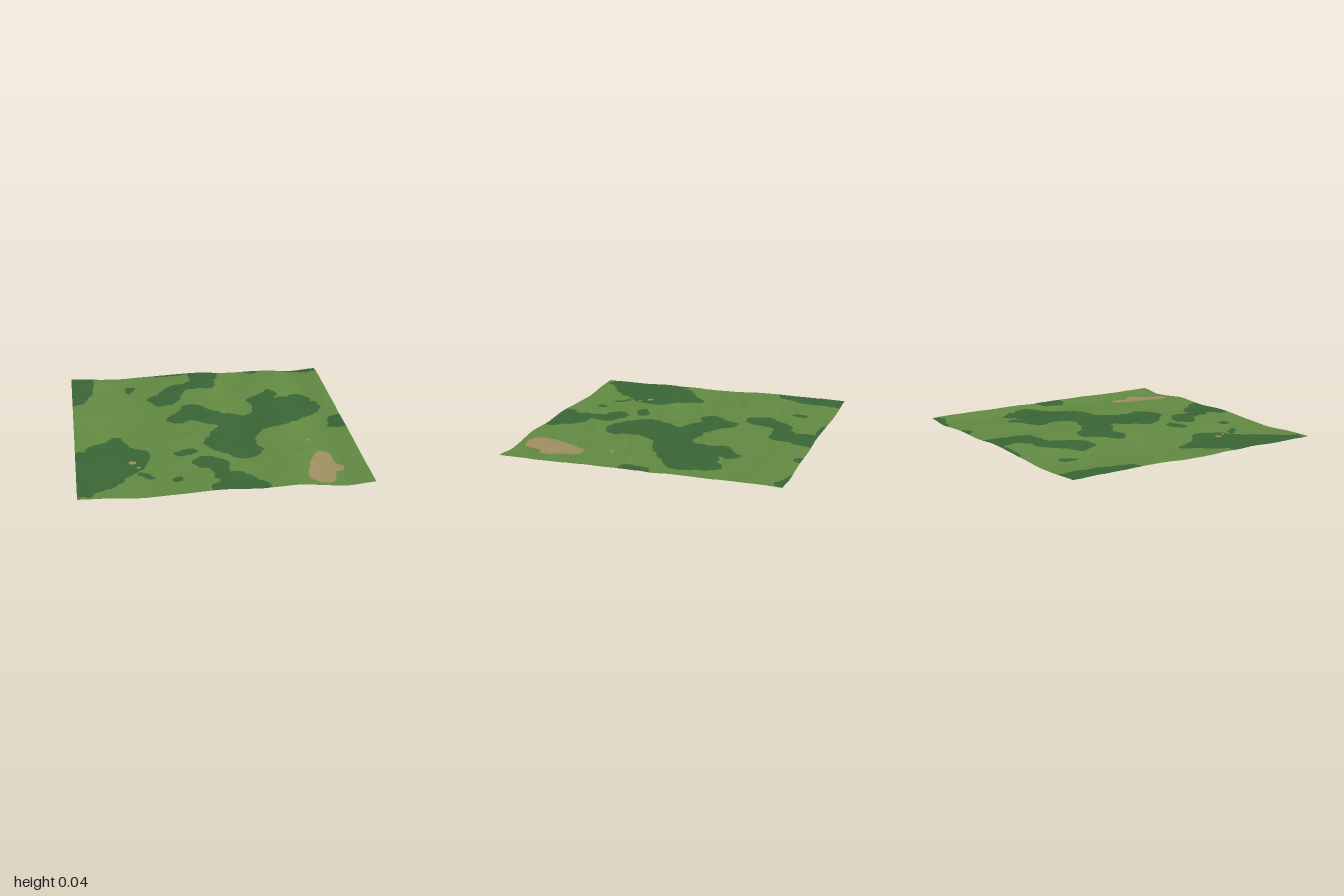
import * as THREE from 'three';

const { lerp, clamp, smoothstep, smootherstep } = THREE.MathUtils;
const N = 220; // grid cells per side

// Each patch is a chain of discs [x, z, radius], joined by tapering strokes
const BACK_WOOD = [
  [[-.98, -1, .17], [-.97, -.75, .13], [-1, -.55, .09]],
  [[.07, -1, .13], [.04, -.77, .1], [-.18, -.7, .07], [-.28, -.52, .12]],
  [[-.28, -1, .03], [0, -1, .04]],
  [[.47, -1.02, .07]],
  [[.76, -1, .04], [.92, -.98, .07]],
  [[-.56, -.76, .04], [-.57, -.7, .03]],
];
const CENTRE_WOOD = [
  [[-.23, -.13, .08], [-.1, -.26, .11], [.05, -.12, .11], [.25, 0, .14], [.5, -.08, .14], [.74, -.28, .14]],
  [[.54, -.53, .06], [.45, -.39, .11], [.52, -.25, .17], [.72, -.4, .11]],
  [[.22, .05, .17], [.11, .28, .18], [.19, .42, .13]],
  [[.99, .02, .12]],
];
const FRONT_WOOD = [
  [[-.71, .14, .06], [-.74, .37, .2], [-.6, .42, .13], [-.72, .55, .16], [-.84, .74, .13], [-.95, .88, .09]],
  [[-1, .5, .18], [-1, .8, .15]],
  [[-.56, .66, .02], [-.5, .71, .025]],
  [[-.1, .57, .08], [.01, .63, .06], [-.03, .79, .06], [.06, .85, .12], [.18, .95, .11], [-.04, .97, .09]],
  [[-.29, .43, .03], [-.19, .4, .04]],
  [[-.32, .78, .04]],
];
const EARTH = [
  [[.73, .55, .06], [.7, .71, .1], [.66, .87, .09]],
  [[.7, .72, .1], [.78, .73, .06]],
  [[-.605, .495, .025]],
  [[-.57, .57, .014]],
  [[.67, .3, .016]],
];

// Seeded smooth noise in -1..1
function hash(i, j) {
  const s = Math.sin(i * 127.1 + j * 311.7) * 43758.5453;
  return (s - Math.floor(s)) * 2 - 1;
}
function noise(x, z) {
  const i = Math.floor(x), j = Math.floor(z);
  const u = smootherstep(x - i, 0, 1), v = smootherstep(z - j, 0, 1);
  return lerp(lerp(hash(i, j), hash(i + 1, j), u), lerp(hash(i, j + 1), hash(i + 1, j + 1), u), v);
}

// True where the point lies within any disc or stroke of a chain
function covered(chain, x, z) {
  return chain.some(([ax, az, ar], k) => {
    const [bx, bz, br] = chain[Math.min(k + 1, chain.length - 1)];
    const dx = bx - ax, dz = bz - az;
    const t = clamp(((x - ax) * dx + (z - az) * dz) / (dx * dx + dz * dz || 1), 0, 1);
    return Math.hypot(x - ax - dx * t, z - az - dz * t) < lerp(ar, br, t);
  });
}

// Crests and hollows across the width, as [x, height]
const SWELL = [[-1, .039], [-.6, .021], [0, .047], [.25, .034], [.5, .041], [.8, .021], [1, .038]];
function swell(x) {
  const k = clamp(SWELL.findIndex(([kx]) => kx >= x), 1, SWELL.length - 1);
  const [ax, ay] = SWELL[k - 1], [bx, by] = SWELL[k];
  return lerp(ay, by, smoothstep(x, ax, bx));
}

// Rolling ground: swells, a dip to the front and fine slanted ripples
function ground(x, z) {
  const along = x * .94 - z * .34, across = x * .34 + z * .94;
  return swell(x) - .004 * Math.sin(z * 2.6) + .006 * noise(x * 2.5 + 7, z * 2.5 + 3)
    + .003 * noise(along * 4 + 11, across * 9) + .0012 * noise(along * 9, across * 20 + 5);
}

// Kind of ground cover at a point, with ragged wood edges
function coverAt(x, z) {
  if (EARTH.some((chain) => covered(chain, x + .008 * noise(x * 18, z * 18), z))) return 'bareEarth';
  const wx = x + .02 * noise(x * 9, z * 9) + .01 * noise(x * 24, z * 24);
  const wz = z + .02 * noise(x * 9 + 40, z * 9) + .01 * noise(x * 24 + 40, z * 24);
  const wood = [...BACK_WOOD, ...CENTRE_WOOD, ...FRONT_WOOD].some((chain) => covered(chain, wx, wz));
  return wood ? 'darkGrass' : 'grass';
}

export function createModel() {
  const group = new THREE.Group();
  group.name = 'terrain';

  // Ground sheet, resting on y = 0
  const sheet = new THREE.PlaneGeometry(2, 2, N, N).rotateX(-Math.PI / 2);
  const pos = sheet.attributes.position;
  for (let i = 0; i < pos.count; i++) pos.setY(i, ground(pos.getX(i), pos.getZ(i)));
  sheet.computeBoundingBox();
  sheet.translate(0, -sheet.boundingBox.min.y, 0);
  sheet.computeVertexNormals();

  // Sort the triangles into ground covers
  const covers = { grass: [], darkGrass: [], bareEarth: [] };
  const index = sheet.index.array;
  for (let i = 0; i < index.length; i += 3) {
    const corners = [index[i], index[i + 1], index[i + 2]];
    const x = corners.reduce((sum, c) => sum + pos.getX(c), 0) / 3;
    const z = corners.reduce((sum, c) => sum + pos.getZ(c), 0) / 3;
    covers[coverAt(x, z)].push(...corners);
  }

  // One mesh per cover, sharing positions and normals so the seams stay smooth
  const colors = { grass: 0x638b43, darkGrass: 0x3a6636, bareEarth: 0xa08f62 };
  for (const [name, triangles] of Object.entries(covers)) {
    const part = new THREE.BufferGeometry();
    part.setAttribute('position', pos);
    part.setAttribute('normal', sheet.attributes.normal);
    part.setIndex(triangles);
    const material = new THREE.MeshStandardMaterial({ color: colors[name], side: THREE.DoubleSide });
    material.name = name;
    const mesh = new THREE.Mesh(part, material);
    mesh.name = name;
    group.add(mesh);
  }
  return group;
}
